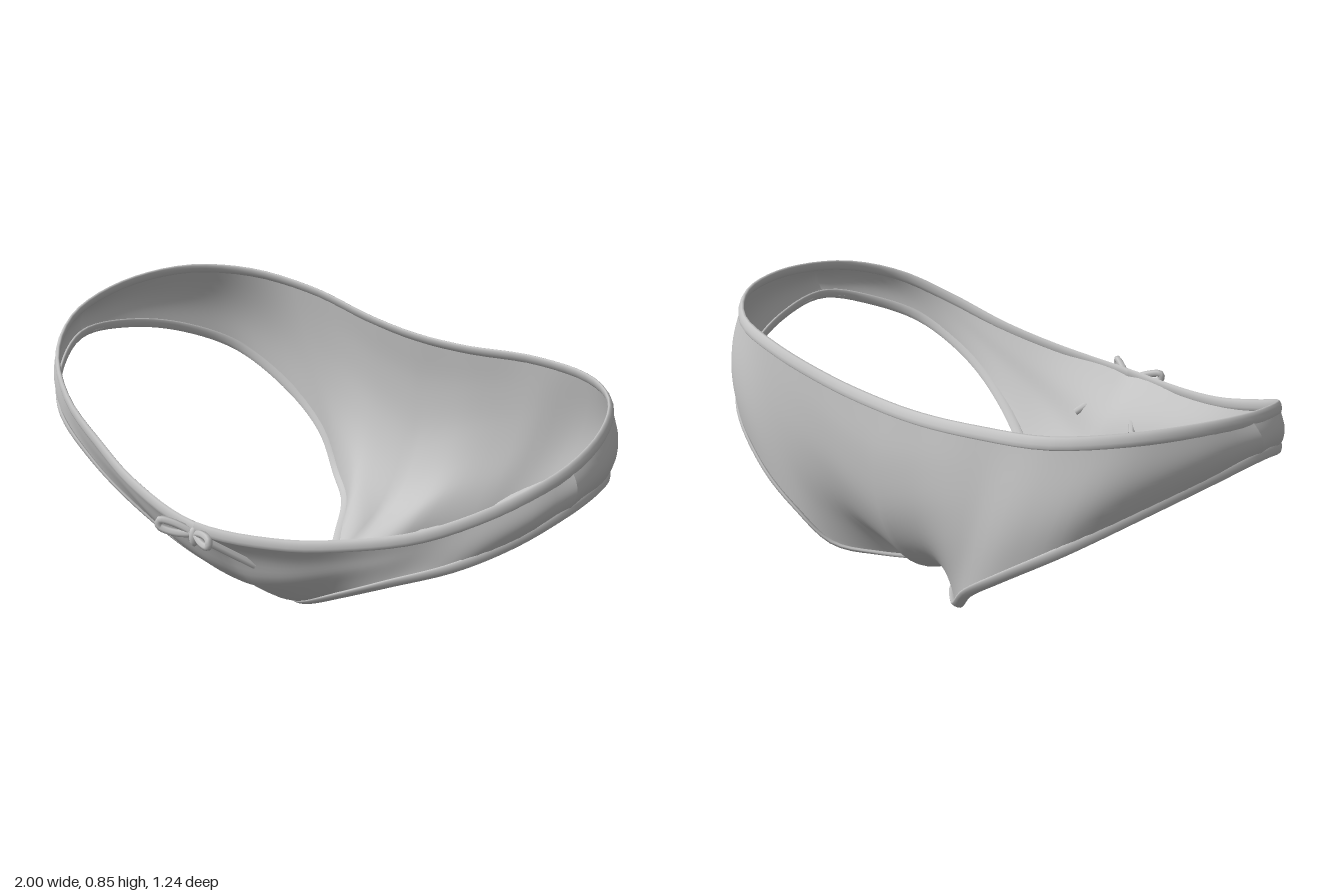
import * as THREE from 'three';

const fabric = new THREE.MeshStandardMaterial({ color: 0xc4c4c4, side: THREE.DoubleSide });
fabric.name = 'grey fabric';

const vec = (p) => new THREE.Vector3(...p);
const curve = (pts, closed = false) => new THREE.CatmullRomCurve3(pts.map(vec), closed, 'centripetal');

// Edge lines of the left half: waist, leg opening and centre line, front and back
const crotch = [0, 0.035, -0.04];
const frontWaist = [[0, 0.515, 0.56], [0.3, 0.54, 0.51], [0.5, 0.585, 0.45], [0.7, 0.655, 0.385],
  [0.85, 0.73, 0.28], [0.935, 0.78, 0.14], [0.965, 0.805, 0]];
const backWaist = [[0, 0.74, -0.58], [0.2, 0.75, -0.585], [0.45, 0.785, -0.59], [0.69, 0.81, -0.54],
  [0.855, 0.828, -0.4], [0.945, 0.825, -0.2], [0.965, 0.805, 0]];
const frontLeg = [crotch, [0.04, 0.06, 0.09], [0.11, 0.12, 0.2], [0.22, 0.2, 0.29], [0.4, 0.33, 0.36],
  [0.6, 0.46, 0.38], [0.8, 0.57, 0.33], [0.92, 0.64, 0.2], [0.985, 0.69, 0.03]];
const backLeg = [crotch, [0.035, 0.055, -0.17], [0.09, 0.08, -0.28], [0.17, 0.115, -0.42], [0.29, 0.145, -0.525],
  [0.4, 0.25, -0.585], [0.55, 0.36, -0.6], [0.75, 0.5, -0.54], [0.88, 0.6, -0.38], [0.96, 0.665, -0.18],
  [0.985, 0.69, 0.03]];
const frontCentre = [frontWaist[0], [0, 0.38, 0.44], [0, 0.24, 0.36], [0, 0.125, 0.21], [0, 0.06, 0.08], crotch];
const backCentre = [backWaist[0], [0, 0.55, -0.595], [0, 0.35, -0.57], [0, 0.2, -0.49], [0, 0.12, -0.39],
  [0, 0.07, -0.22], crotch];

function grid(nu, nv, point, flip) {
  const pos = [], idx = [];
  for (let j = 0; j <= nv; j++)
    for (let i = 0; i <= nu; i++) pos.push(...point(i / nu, j / nv));
  for (let j = 0; j < nv; j++)
    for (let i = 0; i < nu; i++) {
      const a = j * (nu + 1) + i, b = a + 1, c = a + nu + 1, d = c + 1;
      if (flip) idx.push(a, b, c, b, d, c);
      else idx.push(a, c, b, b, c, d);
    }
  const g = new THREE.BufferGeometry();
  g.setAttribute('position', new THREE.Float32BufferAttribute(pos, 3));
  g.setIndex(idx);
  g.computeVertexNormals();
  return g;
}

// Panel blended between its waist, leg, centre and side edges, mirrored across x
function panel(waistPts, legPts, centrePts, bulge, flip) {
  const W = curve(waistPts), L = curve(legPts), C = curve(centrePts);
  const w0 = W.getPoint(0), l0 = L.getPoint(0);
  return grid(64, 24, (s, v) => {
    const m = s * 2 - 1, u = Math.abs(m);
    const w = W.getPointAt(u), l = L.getPointAt(u);
    // The centre line's curvature fades as the leg edge comes under the waist
    const fade = THREE.MathUtils.clamp((l.z - w.z) / (l0.z - w0.z), 0, 1) * (1 - u * u);
    const sag = C.getPointAt(v).sub(w0.clone().lerp(l0, v));
    const p = w.lerp(l, v).addScaledVector(sag, fade);
    // Gentle outward swell between the edges
    const swell = Math.sin(Math.PI * v) * Math.min(1, u * 2);
    return [Math.sign(m) * p.x * (1 + 0.025 * swell), p.y, p.z * (1 + bulge * swell)];
  }, flip);
}

// Flat elastic band swept round a closed line, facing away from the body centre
function band(line, width, thick) {
  const middle = new THREE.Vector3(0, 0.45, 0);
  return grid(96, 10, (s, k) => {
    const p = line.getPointAt(s % 1), t = line.getTangentAt(s % 1);
    const out = p.clone().sub(middle);
    out.addScaledVector(t, -out.dot(t)).normalize();
    const across = new THREE.Vector3().crossVectors(t, out);
    const a = k * Math.PI * 2;
    p.addScaledVector(across, Math.cos(a) * width / 2).addScaledVector(out, Math.sin(a) * thick / 2);
    return p.toArray();
  }, false);
}

export function createModel() {
  const model = new THREE.Group();
  model.name = 'briefs';
  const add = (name, geometry) => {
    const mesh = new THREE.Mesh(geometry, fabric);
    mesh.name = name;
    model.add(mesh);
    return mesh;
  };

  // Fabric panels
  add('frontPanel', panel(frontWaist, frontLeg, frontCentre, 0, false));
  add('backPanel', panel(backWaist, backLeg, backCentre, 0.045, true));

  // Gusset: [z, y, half width] sections, folded up at the edges
  const rows = [[0.2, 0.115, 0.1], [0.08, 0.05, 0.045], [-0.03, 0.002, 0.018], [-0.12, 0.035, 0.025], [-0.22, 0.062, 0.05]];
  add('gusset', grid(4, rows.length - 1, (s, v) => {
    const [z, y, w] = rows[Math.round(v * (rows.length - 1))];
    const side = s * 2 - 1;
    return [side * w, y + 0.03 * Math.abs(side) * (1 - Math.abs(v - 0.5) * 2), z];
  }, false));

  // Elastic edges
  const mirror = (p, s) => [p[0] * s, p[1], p[2]];
  const half = [...frontWaist, ...backWaist.slice(0, -1).reverse()];
  const other = half.slice(1, -1).reverse().map((p) => mirror(p, -1));
  add('waistband', band(curve([...half, ...other], true), 0.04, 0.016));
  for (const s of [1, -1]) {
    const side = s > 0 ? 'left' : 'right';
    const loop = [...frontLeg, ...backLeg.slice(1, -1).reverse()].map((p) => mirror(p, s));
    if (s < 0) loop.reverse();
    add(side + 'LegBand', band(curve(loop, true), 0.036, 0.014));

    // Bow loop and tail
    const bow = [[0.01, 0.495, 0.565], [0.06, 0.522, 0.588], [0.1, 0.528, 0.61], [0.1, 0.508, 0.612], [0.05, 0.492, 0.59]];
    add(side + 'BowLoop', new THREE.TubeGeometry(curve(bow.map((p) => mirror(p, s)), true), 24, 0.012, 6, true));
    const tail = [[0.01, 0.49, 0.565], [0.07, 0.43, 0.5], [0.13, 0.37, 0.435]];
    add(side + 'BowTail', new THREE.TubeGeometry(curve(tail.map((p) => mirror(p, s))), 10, 0.013, 6));
  }
  const knot = add('bowKnot', new THREE.SphereGeometry(0.02, 12, 8));
  knot.scale.set(0.8, 1.7, 0.8);
  knot.position.set(0, 0.485, 0.565);
  return model;
}
